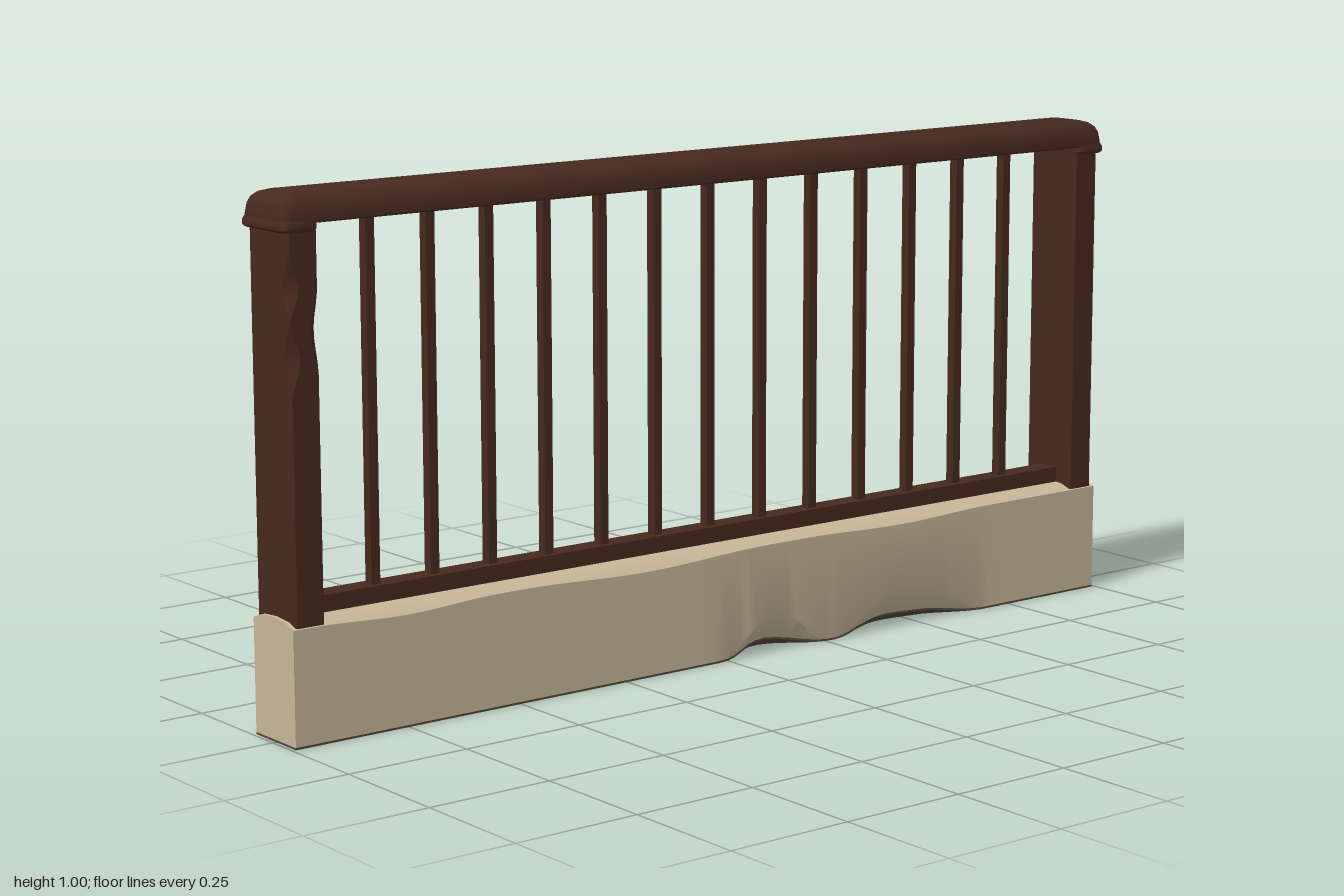
import * as THREE from 'three';
import { toCreasedNormals } from 'three/addons/utils/BufferGeometryUtils.js';

function makeMaterial(name, color) {
  const material = new THREE.MeshStandardMaterial({ color });
  material.name = name;
  return material;
}
const wood = makeMaterial('dark wood', 0x47291f);
const stone = makeMaterial('pale stone', 0xc7b698);
const darkStone = makeMaterial('dark underside stone', 0x50473a);

// Skin a closed solid over rings that run counter-clockwise about the loft axis
function loft(rings, crease = 0.5) {
  const n = rings[0].length;
  const pos = [];
  const index = [];
  rings.forEach((r) => r.forEach((p) => pos.push(...p)));
  for (let i = 0; i < rings.length - 1; i++) {
    for (let j = 0; j < n; j++) {
      const a = i * n + j, b = i * n + (j + 1) % n;
      index.push(a, b, b + n, a, b + n, a + n);
    }
  }
  [0, rings.length - 1].forEach((i) => {
    const centre = pos.length / 3;
    pos.push(...[0, 1, 2].map((k) => rings[i].reduce((s, p) => s + p[k], 0) / n));
    for (let j = 0; j < n; j++) {
      const a = i * n + j, b = i * n + (j + 1) % n;
      index.push(centre, ...(i ? [a, b] : [b, a]));
    }
  });
  const g = new THREE.BufferGeometry();
  g.setAttribute('position', new THREE.Float32BufferAttribute(pos, 3));
  g.setIndex(index);
  return toCreasedNormals(g, crease);
}

// Total depth at t of smooth chips given as [centre, half width, depth]
const chipDepth = (t, chips) => chips.reduce((s, [c, w, d]) =>
  s + d * (0.5 + 0.5 * Math.cos(Math.PI * Math.min(1, Math.abs(t - c) / w))), 0);

// Horizontal rounded rectangle
function roundedRing(y, hx, hz, r) {
  const ring = [];
  [[1, 1], [1, -1], [-1, -1], [-1, 1]].forEach(([sx, sz], q) => {
    for (let k = 0; k <= 4; k++) {
      const a = (q + k / 4) * Math.PI / 2;
      ring.push([sx * (hx - r) + Math.sin(a) * r, y, sz * (hz - r) + Math.cos(a) * r]);
    }
  });
  return ring;
}

// Square post; chips[q] wears the corners (+x+z), (+x-z), (-x-z), (-x+z)
function postGeometry(chips) {
  const hx = 0.03, hz = 0.064;
  const rings = [];
  for (let i = 0; i <= 36; i++) {
    const y = 0.2 + i * 0.0206;
    const c = chips.map((list) => 0.003 + chipDepth(y, list));
    rings.push([
      [hx - c[0], y, hz], [hx, y, hz - c[0]],
      [hx, y, -hz + c[1]], [hx - c[1], y, -hz],
      [-hx + c[2], y, -hz], [-hx, y, -hz + c[2]],
      [-hx, y, hz - c[3]], [-hx + c[3], y, hz],
    ]);
  }
  return loft(rings);
}

// Rings along the plinth; section(x, b, t) gets the lower and upper chip depths
function plinthLoft(section) {
  const lower = [[0.12, 0.14, 0.042], [0.4, 0.13, 0.03], [0.52, 0.16, 0.035]];
  const upper = [[-0.75, 0.2, 0.008], [-0.2, 0.3, 0.01], [0.45, 0.25, 0.007]];
  const rings = [];
  for (let i = 0; i <= 80; i++) {
    const x = -0.993 + i * 1.986 / 80;
    rings.push(section(x, chipDepth(x, lower), chipDepth(x, upper)));
  }
  return loft(rings, 0.7);
}

export function createModel() {
  const model = new THREE.Group();
  model.name = 'balustrade';
  const add = (name, geometry, material, x = 0, y = 0, z = 0) => {
    const mesh = new THREE.Mesh(geometry, material);
    mesh.name = name;
    mesh.position.set(x, y, z);
    model.add(mesh);
  };

  // Stone plinth with a crowned top and a worn lower front edge
  add('plinth', plinthLoft((x, b, t) => [
    [x, 0.232, 0], [x, 0.229, 0.04], [x, 0.219 - t, 0.067],
    [x, 0.005 + b * 1.8, 0.067], [x, 0.004 + b * 0.35, 0.067 - b],
    [x, 0.004, 0.066 - b * 1.5], [x, 0.004, -0.067],
    [x, 0.219, -0.067], [x, 0.229, -0.04],
  ]), stone);

  // Dark underside following the worn edge
  add('plinthUnderside', plinthLoft((x, b) => [
    [x, 0.004 + b * 0.35, 0.067 - b], [x, b * 0.35, 0.067 - b],
    [x, 0, 0.066 - b * 1.5], [x, 0, -0.067],
    [x, 0.004, -0.067], [x, 0.004, 0.066 - b * 1.5],
  ]), darkStone);

  // Handrail: height and inset of each layer, rounding over to the top
  const layers = [[0.943, 0.006], [0.946, 0.002], [0.953, 0.002], [0.972, 0.005],
    [0.983, 0.01], [0.991, 0.019], [0.995, 0.032]];
  add('handrail', loft(layers.map(([y, d]) =>
    roundedRing(y, 0.999 - d, 0.074 - d, 0.02)), 0.8), wood);

  // Lips under the handrail ends, and the posts below them
  const lip = loft([[0.929, 0.004], [0.933, 0], [0.942, 0], [0.955, 0.006]].map(([y, d]) =>
    roundedRing(y, 0.038 - d, 0.075 - d, 0.018)), 0.8);
  [-1, 1].forEach((s) => add(s > 0 ? 'leftLip' : 'rightLip', lip, wood, s * 0.962));

  add('leftPost', postGeometry([
    [], [[0.6, 0.1, 0.024], [0.78, 0.07, 0.007]], [], [],
  ]), wood, 0.955);
  add('rightPost', postGeometry([
    [[0.75, 0.08, 0.014]],
    [[0.84, 0.06, 0.014], [0.7, 0.07, 0.012]],
    [],
    [[0.83, 0.06, 0.018], [0.7, 0.07, 0.018]],
  ]), wood, -0.955);

  // Bottom rail and thirteen balusters
  add('bottomRail', new THREE.BoxGeometry(1.88, 0.04, 0.046), wood, 0, 0.242, 0);
  const baluster = new THREE.BoxGeometry(0.019, 0.7, 0.02);
  for (let i = -6; i <= 6; i++) add('baluster', baluster, wood, i * 0.13, 0.6, 0);

  return model;
}
